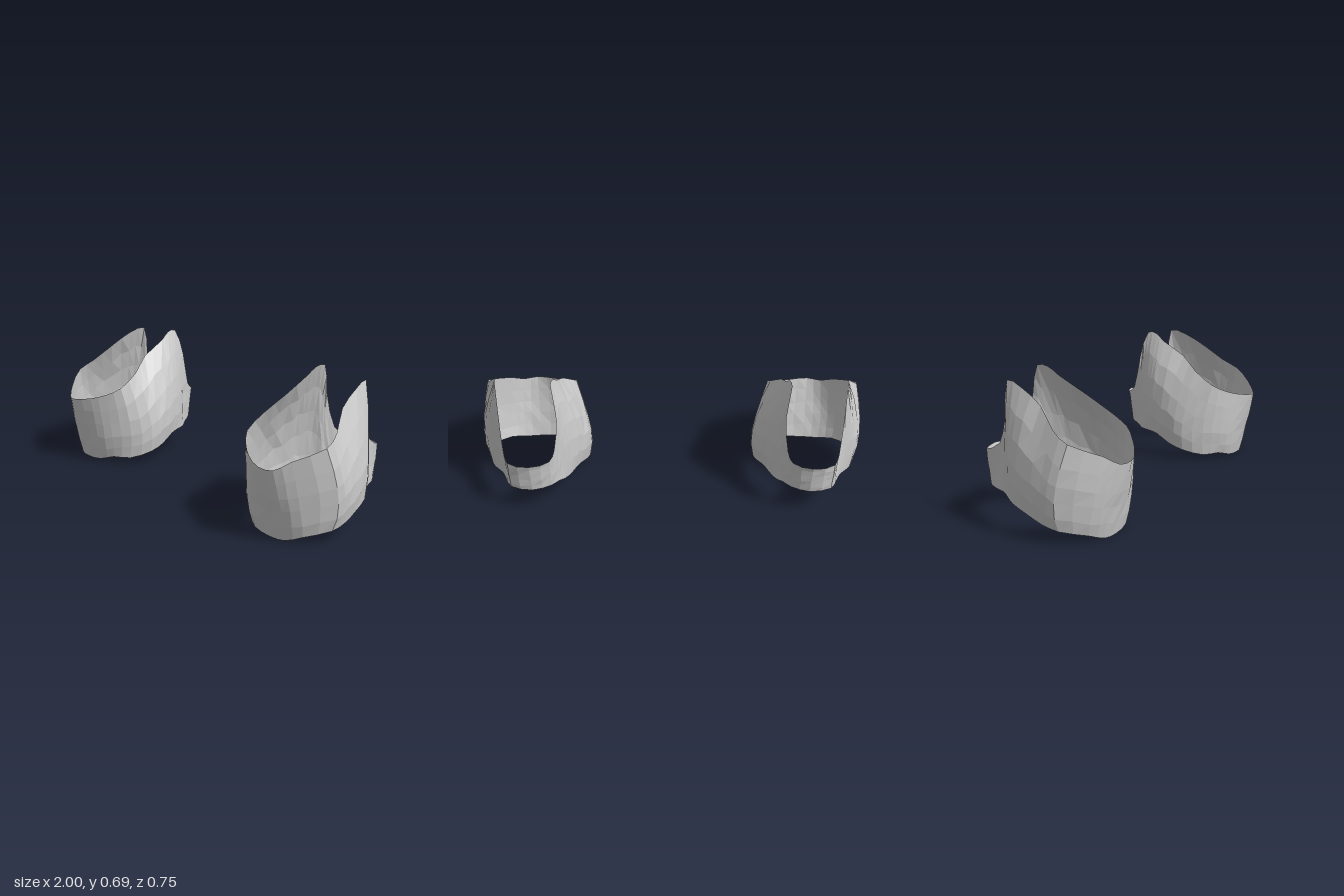
import * as THREE from 'three';

// Matching stations on the three loops, from the front round the outer side, back and inner side.
const bottomLoop = [
  [0.74, 0.003, 0.295], [0.82, 0.006, 0.282], [0.89, 0.033, 0.242], [0.968, 0.06, 0.14], [0.972, 0.08, 0.06],
  [0.955, 0.108, -0.03], [0.925, 0.13, -0.12], [0.89, 0.14, -0.17], [0.86, 0.15, -0.21], [0.84, 0.15, -0.25],
  [0.8, 0.155, -0.325], [0.69, 0.155, -0.352], [0.6, 0.155, -0.315], [0.565, 0.145, -0.265], [0.54, 0.13, -0.23],
  [0.515, 0.13, -0.195], [0.49, 0.13, -0.14], [0.473, 0.123, -0.095], [0.447, 0.085, -0.01], [0.435, 0.06, 0.08],
  [0.49, 0.03, 0.185], [0.56, 0.033, 0.248], [0.63, 0.012, 0.286],
];
const waistLoop = [
  [0.74, 0.175, 0.336], [0.825, 0.18, 0.32], [0.895, 0.2, 0.274], [0.997, 0.23, 0.14], [0.993, 0.27, 0.07],
  [0.965, 0.325, -0.03], [0.928, 0.37, -0.12], [0.893, 0.38, -0.17], [0.858, 0.315, -0.208], [0.835, 0.255, -0.25],
  [0.8, 0.24, -0.335], [0.69, 0.24, -0.365], [0.597, 0.24, -0.326], [0.567, 0.25, -0.275], [0.545, 0.33, -0.235],
  [0.517, 0.39, -0.2], [0.488, 0.385, -0.145], [0.469, 0.36, -0.1], [0.442, 0.31, -0.01], [0.43, 0.25, 0.085],
  [0.472, 0.2, 0.19], [0.545, 0.19, 0.267], [0.62, 0.18, 0.314],
];
const topLoop = [
  [0.74, 0.35, 0.374], [0.81, 0.347, 0.355], [0.87, 0.39, 0.304], [0.965, 0.45, 0.19], [0.945, 0.495, 0.11],
  [0.888, 0.578, 0.015], [0.865, 0.645, -0.1], [0.845, 0.666, -0.187], [0.844, 0.5, -0.205], [0.835, 0.37, -0.245],
  [0.8, 0.322, -0.345], [0.69, 0.322, -0.378], [0.595, 0.325, -0.337], [0.573, 0.36, -0.293], [0.556, 0.54, -0.248],
  [0.577, 0.687, -0.205], [0.571, 0.683, -0.15], [0.56, 0.645, -0.1], [0.55, 0.572, 0.03], [0.51, 0.5, 0.12],
  [0.505, 0.43, 0.225], [0.565, 0.39, 0.285], [0.64, 0.365, 0.335],
];

const COLUMNS = 2 * topLoop.length, ROWS = 5;
const curve = (pts) => new THREE.CatmullRomCurve3(pts.map((p) => new THREE.Vector3(...p)), true, 'centripetal');

// Open wall lofted through the three loops; side is 1 or -1 for the mirrored copy.
function cuffGeometry(side) {
  let seed = 7;
  const wobble = (amount) => {
    seed = (seed * 16807) % 2147483647;
    return (seed / 2147483647 - 0.5) * 2 * amount;
  };
  const loops = [bottomLoop, waistLoop, topLoop].map(curve);
  const pos = [], index = [];
  for (let c = 0; c < COLUMNS; c++) {
    const [b, w, t] = loops.map((l) => l.getPoint(c / COLUMNS));
    for (let r = 0; r <= ROWS; r++) {
      const v = r / ROWS;
      const p = new THREE.Vector3()
        .addScaledVector(b, 2 * (v - 0.5) * (v - 1))
        .addScaledVector(w, 4 * v * (1 - v))
        .addScaledVector(t, 2 * v * (v - 0.5));
      // Slight hand-beaten unevenness away from the rims
      if (r > 0 && r < ROWS) {
        p.x += wobble(0.002);
        p.y += wobble(0.01);
        p.z += wobble(0.002);
      }
      pos.push(p.x * side, Math.max(p.y, 0), p.z);
    }
  }
  const at = (c, r) => (c % COLUMNS) * (ROWS + 1) + r;
  for (let c = 0; c < COLUMNS; c++) {
    for (let r = 0; r < ROWS; r++) {
      const q = [at(c, r), at(c + 1, r), at(c + 1, r + 1), at(c, r + 1)];
      if (side < 0) q.reverse();
      index.push(q[0], q[1], q[2], q[0], q[2], q[3]);
    }
  }
  const g = new THREE.BufferGeometry();
  g.setAttribute('position', new THREE.Float32BufferAttribute(pos, 3));
  g.setIndex(index);
  const flat = g.toNonIndexed();
  flat.computeVertexNormals();
  return flat;
}

export function createModel() {
  const group = new THREE.Group();
  const grey = new THREE.MeshStandardMaterial({ color: 0xcccccc, side: THREE.DoubleSide, flatShading: true });
  grey.name = 'plain grey';
  for (const side of [1, -1]) {
    const cuff = new THREE.Mesh(cuffGeometry(side), grey);
    cuff.name = side > 0 ? 'leftCuff' : 'rightCuff';
    group.add(cuff);
  }
  return group;
}
